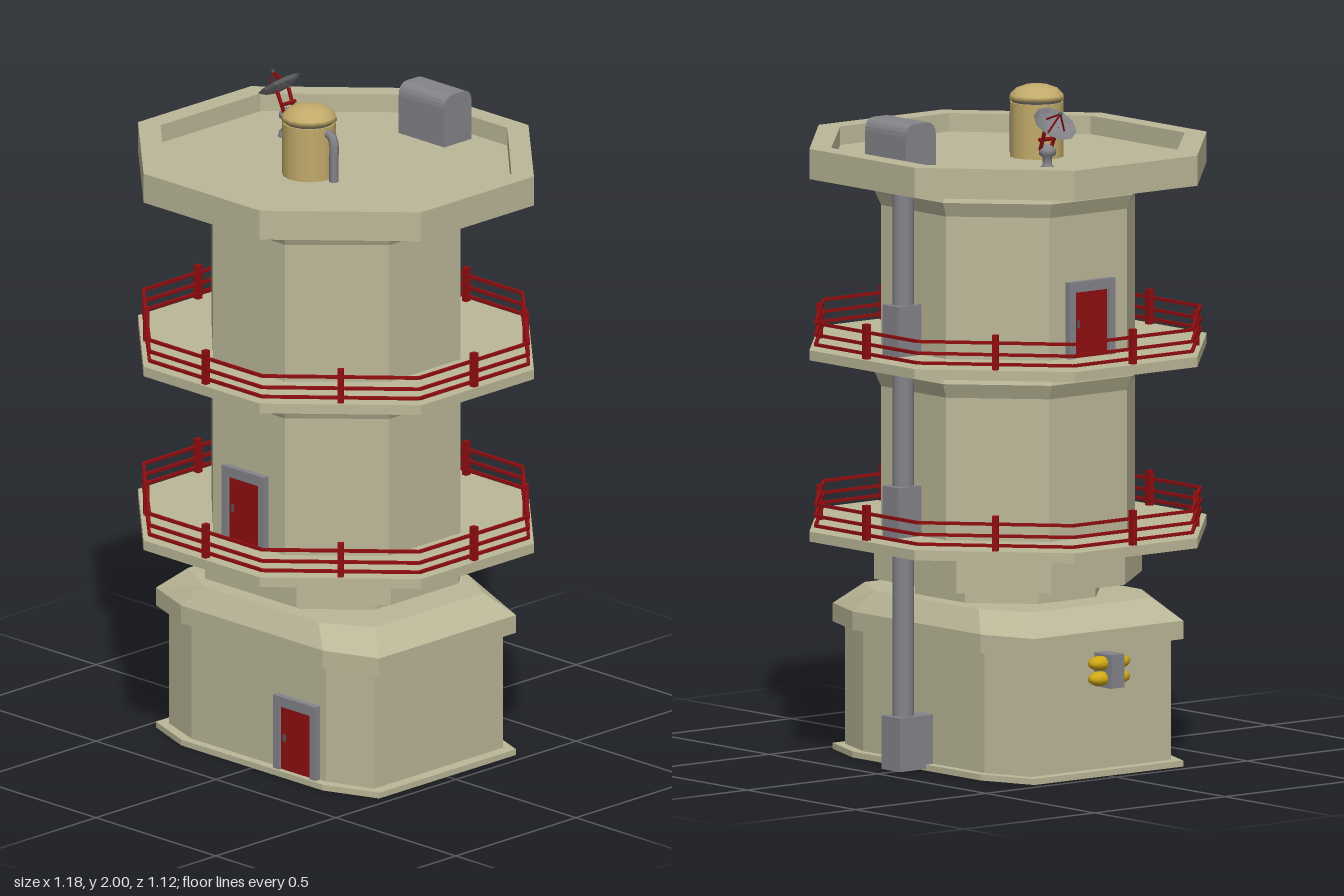
import * as THREE from 'three';

const mat = (name, color, flat = false, side = THREE.FrontSide) => {
  const m = new THREE.MeshStandardMaterial({ color, flatShading: flat, side });
  m.name = name;
  return m;
};

// Octagon ring at height y: half sizes X, Z and the half lengths of the front and side edges
const ring = (y, X, Z, cx, cz) =>
  [[cx, Z], [X, cz], [X, -cz], [cx, -Z], [-cx, -Z], [-X, -cz], [-X, cz], [-cx, Z]]
    .map(([x, z]) => new THREE.Vector3(x, y, z));

// Closed flat-faced solid through a list of rings, capped at both ends
function loft(rings) {
  const pos = [];
  const tri = (...pts) => pts.forEach(p => pos.push(p.x, p.y, p.z));
  const n = rings[0].length;
  for (let r = 0; r < rings.length - 1; r++) {
    for (let i = 0; i < n; i++) {
      const j = (i + 1) % n, a = rings[r], b = rings[r + 1];
      tri(a[i], a[j], b[j]);
      tri(a[i], b[j], b[i]);
    }
  }
  const first = rings[0], last = rings[rings.length - 1];
  for (let i = 1; i < n - 1; i++) {
    tri(first[0], first[i + 1], first[i]);
    tri(last[0], last[i], last[i + 1]);
  }
  const g = new THREE.BufferGeometry();
  g.setAttribute('position', new THREE.Float32BufferAttribute(pos, 3));
  g.computeVertexNormals();
  return g;
}

export function createModel() {
  const model = new THREE.Group();
  model.name = 'controlTower';
  const concrete = mat('concrete', 0xbcb899);
  const grey = mat('greyMetal', 0x85848a);
  const red = mat('redPaint', 0x900d10);
  const tan = mat('tankTan', 0xc2aa6a);
  const yellow = mat('lampYellow', 0xd0a814);
  const dark = mat('darkMetal', 0x55555a);
  const dishGrey = mat('dishGrey', 0x808085, true, THREE.DoubleSide);

  const add = (name, geo, material, x = 0, y = 0, z = 0, parent = model) => {
    const m = new THREE.Mesh(geo, material);
    m.name = name;
    m.position.set(x, y, z);
    parent.add(m);
    return m;
  };
  const box = (name, w, h, d, material, x, y, z, parent) =>
    add(name, new THREE.BoxGeometry(w, h, d), material, x, y, z, parent);
  // Round bar between two points
  const bar = (name, a, b, r, material, parent, sides = 6) => {
    const d = b.clone().sub(a);
    const m = add(name, new THREE.CylinderGeometry(r, r, d.length(), sides), material, 0, 0, 0, parent);
    m.position.copy(a).addScaledVector(d, 0.5);
    m.quaternion.setFromUnitVectors(new THREE.Vector3(0, 1, 0), d.normalize());
    return m;
  };
  const v = (x, y, z) => new THREE.Vector3(x, y, z);

  // Hollow base, open underneath, with plinth and sloped top trim
  add('base', loft([
    ring(0.47, 0.41, 0.305, 0.27, 0.255), ring(0, 0.42, 0.31, 0.275, 0.26),
    ring(0, 0.465, 0.35, 0.295, 0.285), ring(0.018, 0.465, 0.35, 0.295, 0.285),
    ring(0.018, 0.428, 0.322, 0.28, 0.268), ring(0.38, 0.428, 0.322, 0.28, 0.268),
    ring(0.38, 0.465, 0.35, 0.295, 0.285), ring(0.435, 0.465, 0.35, 0.295, 0.285),
    ring(0.5, 0.39, 0.312, 0.24, 0.225),
  ]), concrete);

  // Neck and collar under the first deck
  add('neck', loft([ring(0.49, 0.272, 0.26, 0.115, 0.11), ring(0.55, 0.272, 0.26, 0.115, 0.11)]), concrete);
  add('collar', loft([ring(0.545, 0.37, 0.355, 0.19, 0.14), ring(0.68, 0.37, 0.355, 0.19, 0.14)]), concrete);

  // Two storeys, each with a deck, a flared wall top and a railing
  [[0.67, 1.215], [1.21, 1.755]].forEach(([y0, y1], level) => {
    const floor = y0 + 0.03;
    const storey = new THREE.Group();
    storey.name = level ? 'upperStorey' : 'lowerStorey';
    model.add(storey);
    add('deck', loft([ring(y0, 0.59, 0.56, 0.242, 0.235), ring(floor, 0.59, 0.56, 0.242, 0.235)]),
      concrete, 0, 0, 0, storey);
    add('wall', loft([
      ring(floor, 0.37, 0.362, 0.15, 0.148), ring(y1 - 0.09, 0.37, 0.362, 0.15, 0.148),
      ring(y1 - 0.047, 0.388, 0.38, 0.158, 0.155), ring(y1, 0.372, 0.362, 0.15, 0.148),
    ]), concrete, 0, 0, 0, storey);

    const rails = new THREE.Group();
    rails.name = 'railing';
    storey.add(rails);
    const corners = ring(0, 0.575, 0.542, 0.235, 0.228);
    corners.forEach((a, i) => {
      const b = corners[(i + 1) % 8], dir = b.clone().sub(a), mid = a.clone().add(b).multiplyScalar(0.5);
      const turn = Math.atan2(-dir.z, dir.x);
      for (const h of [0.016, 0.045, 0.08])
        box('rail', dir.length(), 0.009, 0.009, red, mid.x, floor + h, mid.z, rails).rotation.y = turn;
      box('railPost', 0.018, 0.105, 0.018, red, mid.x, floor + 0.052, mid.z, rails).rotation.y = turn;
    });
  });

  // Roof slab with recessed floor
  add('roof', loft([
    ring(1.75, 0.59, 0.56, 0.242, 0.235), ring(1.84, 0.59, 0.56, 0.242, 0.235),
    ring(1.84, 0.523, 0.497, 0.217, 0.208), ring(1.785, 0.523, 0.497, 0.217, 0.208),
  ]), concrete);

  // Doors: frame with an opening, recessed leaf and handle
  const door = (name, x, y, z, turn) => {
    const g = new THREE.Group();
    g.name = name;
    g.position.set(x, y, z);
    g.rotation.y = turn;
    model.add(g);
    const s = new THREE.Shape([[-0.088, 0], [-0.064, 0], [-0.064, 0.197], [0.064, 0.197],
      [0.064, 0], [0.088, 0], [0.088, 0.228], [-0.088, 0.228]].map(p => new THREE.Vector2(...p)));
    add('doorFrame', new THREE.ExtrudeGeometry(s, { depth: 0.03, bevelEnabled: false }), grey, 0, 0, -0.01, g);
    box('doorLeaf', 0.128, 0.197, 0.014, red, 0, 0.0985, 0.003, g);
    box('doorHandle', 0.006, 0.022, 0.008, dark, -0.048, 0.1, 0.013, g);
    return g;
  };
  const entry = door('baseDoor', 0.168, 0.018, 0.322, 0);
  box('doorPassage', 0.172, 0.22, 0.22, grey, 0, 0.11, -0.115, entry);
  door('lowerStoreyDoor', -0.007, 0.7, 0.362, 0);
  door('upperStoreyDoor', -0.37, 1.24, 0, -Math.PI / 2);

  // Twin-sided lamp bracket on the base
  const lamp = new THREE.Group();
  lamp.name = 'wallLamp';
  lamp.position.set(-0.466, 0.316, 0);
  model.add(lamp);
  box('lampPlate', 0.08, 0.1, 0.05, grey, 0, 0, 0, lamp);
  for (const y of [-0.023, 0.023]) for (const z of [-0.035, 0.035])
    add('lampBulb', new THREE.SphereGeometry(1, 12, 8), yellow, 0, y, z, lamp).scale.set(0.028, 0.022, 0.04);

  // Rear duct with ground box, deck sleeves and rounded roof vent
  add('ductPipe', new THREE.CylinderGeometry(0.032, 0.032, 1.68, 12), grey, 0, 0.92, -0.402);
  box('ductGroundBox', 0.085, 0.16, 0.13, grey, 0, 0.085, -0.385);
  box('lowerDuctSleeve', 0.075, 0.15, 0.09, grey, 0, 0.775, -0.405);
  box('upperDuctSleeve', 0.075, 0.15, 0.09, grey, 0, 1.315, -0.405);
  const vent = new THREE.Shape();
  vent.moveTo(-0.057, 0);
  vent.lineTo(0.057, 0);
  vent.lineTo(0.057, 0.12);
  vent.quadraticCurveTo(0.055, 0.158, 0.022, 0.158);
  vent.lineTo(-0.022, 0.158);
  vent.quadraticCurveTo(-0.055, 0.158, -0.057, 0.12);
  const ventGeo = new THREE.ExtrudeGeometry(vent, { depth: 0.19, bevelEnabled: false, curveSegments: 5 });
  add('roofVent', ventGeo.rotateY(Math.PI / 2), grey, -0.092, 1.783, -0.41);

  // Water tank with seam, dome and side pipe
  const tank = new THREE.Group();
  tank.name = 'waterTank';
  tank.position.set(-0.012, 1.783, 0.1);
  model.add(tank);
  add('tankBody', new THREE.CylinderGeometry(0.08, 0.08, 0.165, 14), tan, 0, 0.0825, 0, tank);
  add('tankSeam', new THREE.CylinderGeometry(0.074, 0.074, 0.012, 14), dark, 0, 0.169, 0, tank);
  add('tankDome', new THREE.LatheGeometry([[0, 0.172], [0.083, 0.172], [0.08, 0.186], [0.062, 0.204],
    [0.035, 0.214], [0, 0.217]].map(p => new THREE.Vector2(...p)), 14), tan, 0, 0, 0, tank);
  add('tankPipe', new THREE.TubeGeometry(new THREE.CatmullRomCurve3([v(0.07, 0.145, 0), v(0.09, 0.143, 0),
    v(0.102, 0.125, 0), v(0.103, 0.06, 0), v(0.103, 0, 0)]), 12, 0.014, 8), grey, 0, 0, 0, tank);

  // Dish antenna: pedestal, tilted bowl, support arms and feed struts
  const antenna = new THREE.Group();
  antenna.name = 'dishAntenna';
  antenna.position.set(-0.305, 1.783, -0.103);
  model.add(antenna);
  add('pedestal', new THREE.LatheGeometry([[0.03, 0], [0.027, 0.015], [0.014, 0.03], [0.014, 0.052],
    [0.025, 0.06], [0.025, 0.075], [0.012, 0.088], [0, 0.09]].map(p => new THREE.Vector2(...p)), 10),
    grey, 0, 0, 0, antenna);
  const bowl = new THREE.Group();
  bowl.name = 'bowl';
  bowl.position.set(-0.03, 0.148, 0);
  bowl.rotation.z = 0.66;
  antenna.add(bowl);
  add('bowlSkin', new THREE.LatheGeometry([[0, -0.012], [0.03, -0.009], [0.055, 0], [0.069, 0.01]]
    .map(p => new THREE.Vector2(...p)), 10), dishGrey, 0, 0, 0, bowl);
  for (let i = 0; i < 3; i++) {
    const a = i * Math.PI * 2 / 3;
    bar('feedStrut', v(0.036 * Math.cos(a), -0.006, 0.036 * Math.sin(a)), v(0, 0.05, 0), 0.003, red, bowl);
  }
  add('feedTip', new THREE.SphereGeometry(0.006, 8, 6), dark, 0, 0.05, 0, bowl);
  for (const s of [-1, 1])
    bar('supportArm', v(0.008, 0.075, s * 0.02), v(-0.02, 0.142, s * 0.024), 0.006, red, antenna);
  bar('supportAxle', v(0.004, 0.105, -0.028), v(0.004, 0.105, 0.028), 0.006, red, antenna);

  return model;
}
